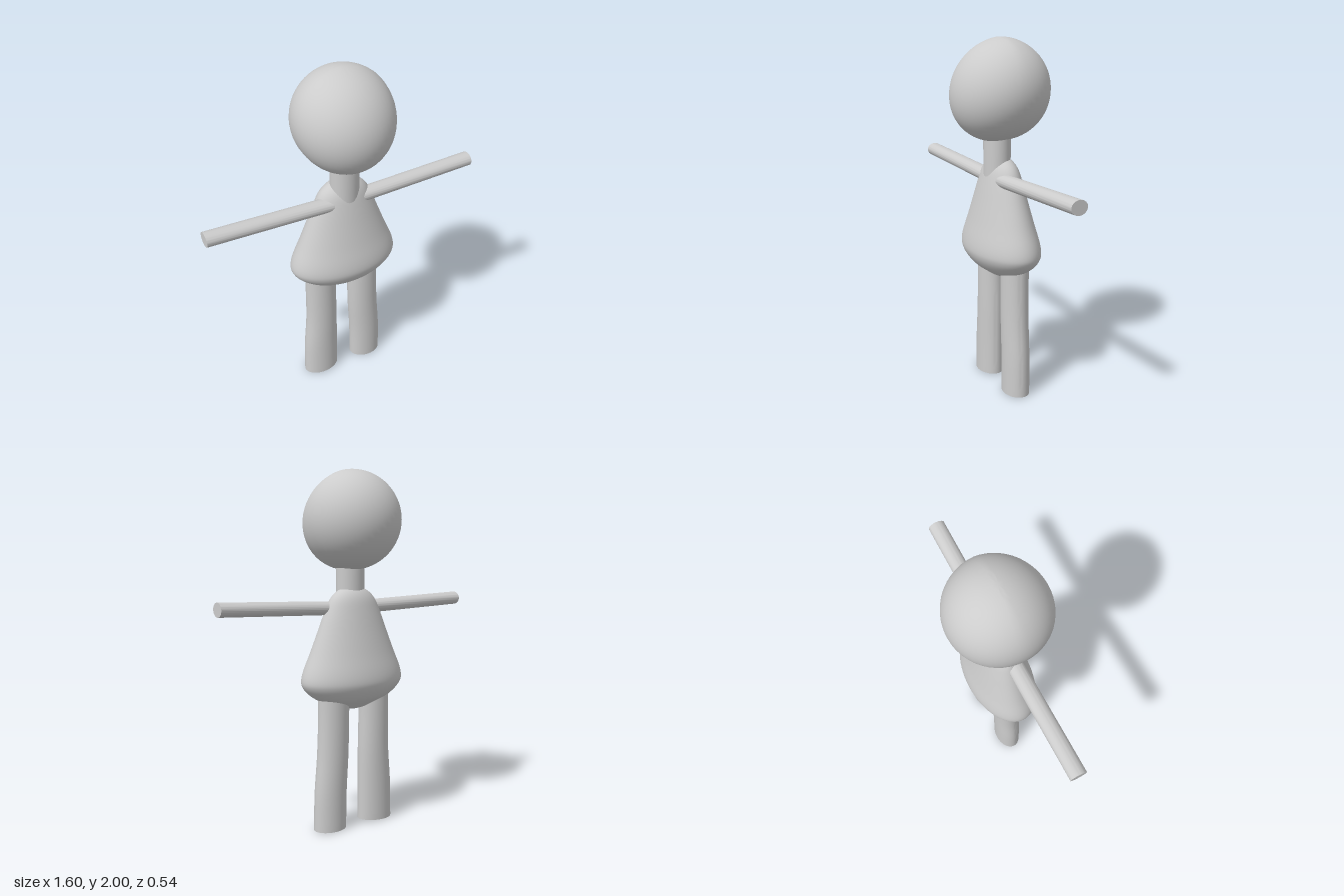
import * as THREE from 'three';
import { toCreasedNormals } from 'three/addons/utils/BufferGeometryUtils.js';

const material = new THREE.MeshStandardMaterial({ color: 0xcccccc });

function add(group, name, geometry) {
  const mesh = new THREE.Mesh(geometry, material);
  mesh.name = name;
  group.add(mesh);
  return mesh;
}

// Move every vertex by a rule, then smooth the surface but keep cap edges sharp
function reshape(geometry, rule) {
  const p = geometry.attributes.position;
  const v = new THREE.Vector3();
  for (let i = 0; i < p.count; i++) {
    rule(v.fromBufferAttribute(p, i));
    p.setXYZ(i, v.x, v.y, v.z);
  }
  return toCreasedNormals(geometry, 0.9);
}

// Unit cylinder, running from y = 0 to y = 1
const rod = (rows) => new THREE.CylinderGeometry(1, 1, 1, 40, rows).translate(0, 0.5, 0);

// Leg: elliptical column following a bent centre line, given from foot to hip
function leg(centres, halfWidths, footTilt, footY) {
  const n = centres.length;
  const curve = new THREE.CatmullRomCurve3(
    centres.map((x, i) => new THREE.Vector3(x, i / (n - 1), halfWidths[i])));
  return reshape(rod(20), (v) => {
    const t = v.y;
    const c = curve.getPoint(t);
    v.y = footY + t * (0.85 - footY) + footTilt * v.x * (1 - t);
    v.x = c.x + v.x * c.z;
    v.z = -0.0125 - 0.006 * t + v.z * 0.074;
  });
}

export function createModel() {
  const model = new THREE.Group();
  model.name = 'figure';

  // Head: a ball whose front half sags into a fuller chin
  add(model, 'head', reshape(new THREE.SphereGeometry(0.272, 48, 32), (v) => {
    v.y += 1.728 - 0.04 * Math.max(0, v.z / 0.272);
  }));

  // Neck: oval column sunk into the torso
  add(model, 'neck', reshape(rod(1), (v) => {
    v.set(v.x * 0.082, 1.25 + v.y * 0.28, 0.018 + v.z * 0.073);
  }));

  // Torso: flattened bell
  const profile = new THREE.SplineCurve([
    [0, 0.672], [0.08, 0.685], [0.16, 0.715], [0.235, 0.748], [0.285, 0.785],
    [0.313, 0.82], [0.32, 0.855], [0.306, 0.91], [0.267, 1.0], [0.222, 1.11],
    [0.178, 1.22], [0.143, 1.295], [0.1, 1.338], [0.05, 1.36], [0, 1.365],
  ].map(([r, y]) => new THREE.Vector2(r, y)));
  const points = profile.getPoints(56);
  points.forEach((q) => { q.x = Math.max(0, q.x); });
  const torso = add(model, 'torso', new THREE.LatheGeometry(points, 64));
  torso.scale.z = 0.58;
  torso.position.z = -0.003;

  // Arms: straight rods rising slightly towards the flat ends
  for (const [name, side] of [['leftArm', 1], ['rightArm', -1]]) {
    add(model, name, reshape(rod(4), (v) => {
      const t = v.y;
      v.set(side * (0.09 + 0.712 * t), 1.246 + 0.023 * t - side * v.x * 0.038, 0.031 + v.z * 0.047);
    }));
  }

  // Legs: each bends outwards a little below the knee
  add(model, 'leftLeg', leg([0.162, 0.158, 0.144, 0.138, 0.138], [0.098, 0.097, 0.094, 0.092, 0.092], 0, 0.004));
  add(model, 'rightLeg', leg([-0.151, -0.148, -0.139, -0.139, -0.139], [0.108, 0.105, 0.096, 0.092, 0.092], 0.005, 0.008));

  return model;
}
